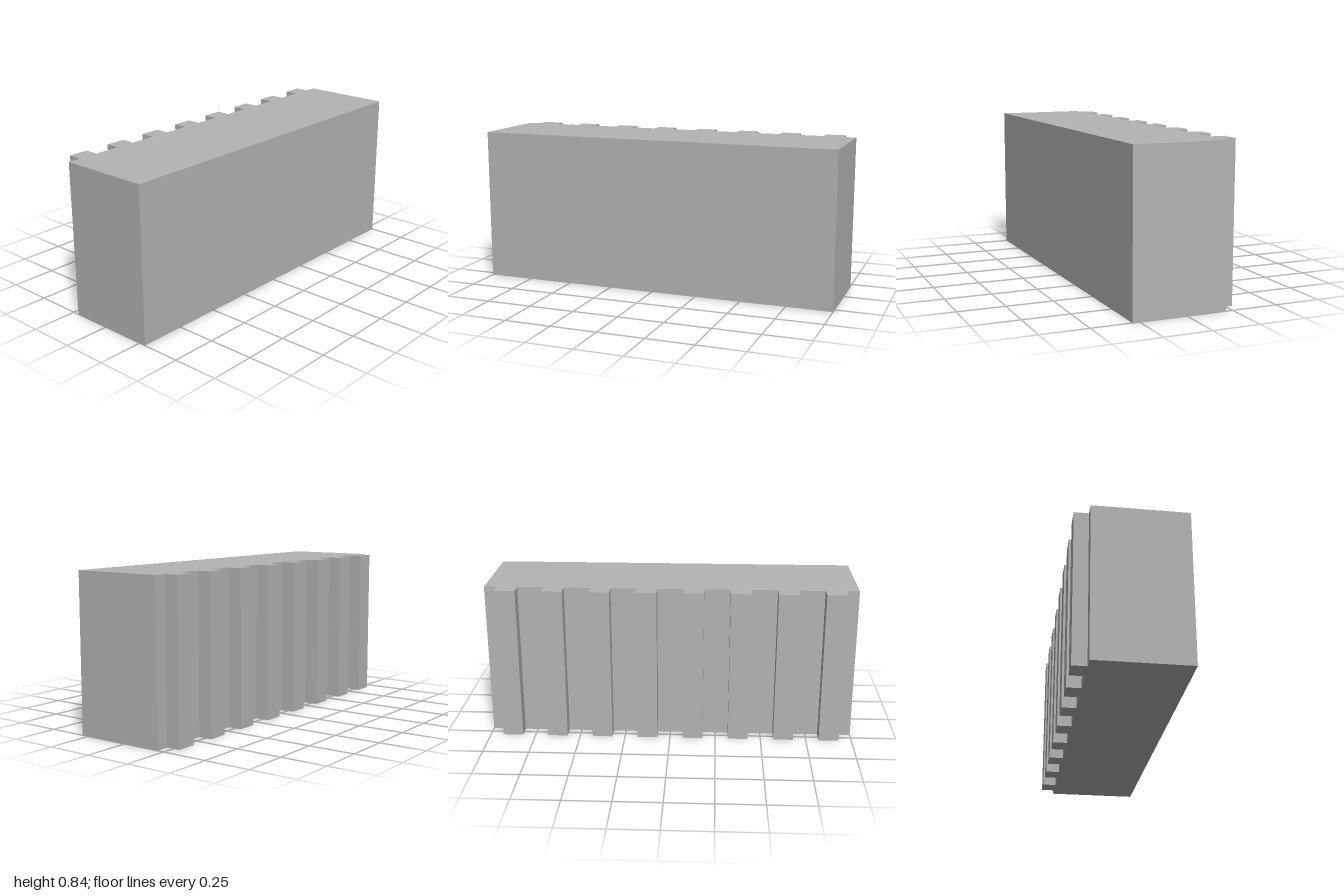
import * as THREE from 'three';

export function createModel() {
  const group = new THREE.Group();
  const grey = new THREE.MeshStandardMaterial({ color: 0xb4b4b4 });
  grey.name = 'grey';

  const height = 0.838, right = 0.288, wall = -0.212, ribFace = -0.288;
  const ribCount = 8, ribHalf = 0.055, pitch = 0.25;

  // Plan outline: a plain block with a row of square ribs along its -x side
  const outline = new THREE.Shape();
  outline.moveTo(wall, -1);
  outline.lineTo(right, -1);
  outline.lineTo(right, 1);
  outline.lineTo(wall, 1);
  for (let i = ribCount - 1; i >= 0; i--) {
    const c = (i - (ribCount - 1) / 2) * pitch;
    outline.lineTo(wall, c + ribHalf);
    outline.lineTo(ribFace, c + ribHalf);
    outline.lineTo(ribFace, c - ribHalf);
    outline.lineTo(wall, c - ribHalf);
  }
  outline.closePath();

  // Raise the plan into a solid standing on the ground
  const geometry = new THREE.ExtrudeGeometry(outline, { depth: height, bevelEnabled: false });
  geometry.rotateX(-Math.PI / 2);
  const block = new THREE.Mesh(geometry, grey);
  block.name = 'ribbedBlock';
  group.add(block);
  return group;
}
